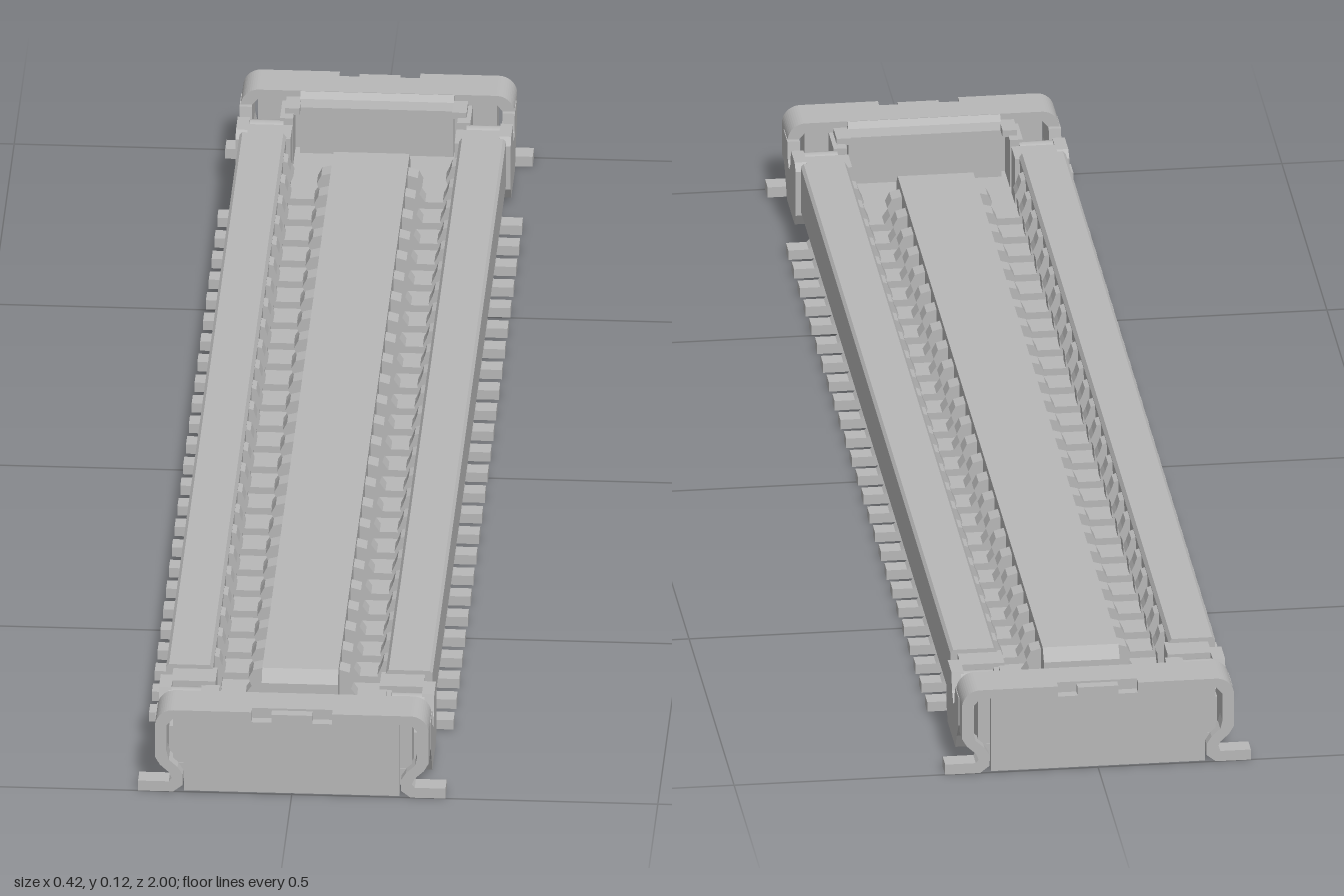
import * as THREE from 'three';

export function createModel() {
  const model = new THREE.Group();
  model.name = 'boardConnector';
  const grey = new THREE.MeshStandardMaterial({ color: 0xb8b8b8 });
  grey.name = 'light grey';

  const add = (parent, name, geo) => {
    const m = new THREE.Mesh(geo, grey);
    m.name = name;
    parent.add(m);
    return m;
  };
  const toShape = (pts) => new THREE.Shape(pts.map(([x, y]) => new THREE.Vector2(x, y)));
  // An x-y outline pushed along z from z0 to z1
  const prism = (outline, z0, z1) => {
    const shape = Array.isArray(outline) ? toShape(outline) : outline;
    const g = new THREE.ExtrudeGeometry(shape, { depth: z1 - z0, bevelEnabled: false, curveSegments: 6 });
    return g.translate(0, 0, z0);
  };
  // A z-y outline pushed along x from x0 to x1
  const sidePrism = (pts, x0, x1) =>
    prism(pts.map(([z, y]) => [-z, y]), x0, x1).rotateY(Math.PI / 2);
  const box = (x0, x1, y0, y1, z0, z1) =>
    new THREE.BoxGeometry(x1 - x0, y1 - y0, z1 - z0)
      .translate((x0 + x1) / 2, (y0 + y1) / 2, (z0 + z1) / 2);
  const flip = (pts, s) => pts.map(([x, y]) => [s * x, y]);

  // Insulating housing: floor with undercut sides, central island, long walls
  add(model, 'floor', prism([[-0.14, 0], [0.14, 0], [0.163, 0.036], [-0.163, 0.036]], -0.985, 0.985));
  add(model, 'island', sidePrism(
    [[-0.82, 0.03], [0.82, 0.03], [0.82, 0.08], [0.805, 0.096], [-0.805, 0.096], [-0.82, 0.08]], -0.052, 0.052));
  const wall = [[0.12, 0.034], [0.176, 0.034], [0.182, 0.04], [0.182, 0.106], [0.178, 0.11], [0.122, 0.11], [0.118, 0.104]];
  for (const s of [-1, 1]) add(model, 'longWall', prism(flip(wall, s), -0.83, 0.83));

  // Contacts: solder foot, bent shank, and a spring strip across the groove
  const foot = [[0.208, 0], [0.208, 0.014], [0.18, 0.014], [0.174, 0.02], [0.174, 0.036],
    [0.158, 0.036], [0.158, 0.012], [0.168, 0]];
  const spring = [[0.12, 0.034], [0.12, 0.103], [0.112, 0.1], [0.108, 0.088], [0.104, 0.08], [0.108, 0.07],
    [0.11, 0.046], [0.076, 0.046], [0.068, 0.058], [0.072, 0.07], [0.066, 0.082], [0.052, 0.086], [0.052, 0.034]];
  const count = 25, pitch = 0.0643;
  for (const s of [-1, 1]) {
    const footGeo = prism(flip(foot, s), -0.013, 0.013);
    const springGeo = prism(flip(spring, s), -0.013, 0.013);
    for (let i = 0; i < count; i++) {
      const z = (i - (count - 1) / 2) * pitch;
      add(model, 'contactFoot', footGeo).position.z = z;
      add(model, 'contactSpring', springGeo).position.z = z;
    }
  }

  // Metal end cover with the housing corners it clips on to
  const W = 0.187, H = 0.123, R = 0.025;
  const archTop = (sh) => {
    sh.lineTo(W, H - R);
    sh.absarc(W - R, H - R, R, 0, Math.PI / 2, false);
  };
  const buildEnd = () => {
    const end = new THREE.Group();
    end.name = 'endCover';

    // Bridge over the top with rounded shoulders
    const arch = new THREE.Shape();
    arch.moveTo(W, 0.06);
    archTop(arch);
    arch.absarc(-W + R, H - R, R, Math.PI / 2, Math.PI, false);
    arch.lineTo(-W, 0.06);
    arch.lineTo(-0.171, 0.06);
    arch.lineTo(-0.171, 0.1);
    arch.lineTo(-0.163, 0.109);
    arch.lineTo(0.163, 0.109);
    arch.lineTo(0.171, 0.1);
    arch.lineTo(0.171, 0.06);
    add(end, 'coverBridge', prism(arch, 0.937, 0.986));

    // Front plate with two notches in its top edge
    const front = new THREE.Shape();
    front.moveTo(0.147, 0.002);
    front.lineTo(0.147, 0.11);
    front.lineTo(0.162, 0.11);
    front.lineTo(0.171, 0.1);
    front.lineTo(0.171, 0.06);
    front.lineTo(W, 0.06);
    archTop(front);
    for (const [x, y] of [[0.055, H], [0.055, 0.108], [0.028, 0.108], [0.028, 0.12],
      [-0.028, 0.12], [-0.028, 0.108], [-0.055, 0.108], [-0.055, H]]) front.lineTo(x, y);
    front.absarc(-W + R, H - R, R, Math.PI / 2, Math.PI, false);
    for (const [x, y] of [[-W, 0.06], [-0.171, 0.06], [-0.171, 0.1], [-0.162, 0.11],
      [-0.147, 0.11], [-0.147, 0.002]]) front.lineTo(x, y);
    add(end, 'frontPlate', prism(front, 0.986, 1));

    // Inner flap curving down to the floor, and the housing end behind the plate
    add(end, 'innerFlap', sidePrism(
      [[0.922, 0.034], [0.922, 0.105], [0.926, 0.116], [0.938, H], [0.945, H], [0.945, 0.034]], -0.105, 0.105));
    add(end, 'housingEnd', box(-0.163, 0.163, 0.03, 0.109, 0.94, 0.984));

    for (const s of [-1, 1]) {
      const side = (x0, x1) => (s > 0 ? [x0, x1] : [-x1, -x0]);
      // Bent leg ending in a solder foot
      add(end, 'coverLeg', prism(flip([[W, 0.062], [W, 0.052], [0.18, 0.04], [0.168, 0.029], [0.164, 0.02],
        [0.168, 0.015], [0.21, 0.015], [0.21, 0], [0.162, 0], [0.149, 0.01], [0.149, 0.026],
        [0.156, 0.037], [0.168, 0.048], [0.171, 0.06]], s), 0.972, 1));
      // Side arm with a hooked cut-out
      add(end, 'sideArm', sidePrism([[0.972, 0.1], [0.972, 0.06], [0.95, 0.035], [0.935, 0.012], [0.85, 0.012],
        [0.838, 0.03], [0.838, 0.095], [0.85, 0.104], [0.89, 0.104], [0.898, 0.08], [0.912, 0.066],
        [0.926, 0.075], [0.93, 0.1]], ...side(0.171, 0.188)));
      // Stepped housing corner
      add(end, 'cornerBlock', box(...side(0.112, 0.172), 0.03, 0.104, 0.825, 0.868));
      add(end, 'cornerStep', box(...side(0.128, 0.172), 0.012, 0.07, 0.865, 0.94));
      add(end, 'cornerPost', box(...side(0.112, 0.13), 0.03, 0.106, 0.885, 0.94));
      // Rolled latch between arm and corner
      const roll = new THREE.CylinderGeometry(0.014, 0.014, 0.05, 12).rotateZ(Math.PI / 2);
      add(end, 'latchRoll', roll.translate(s * 0.15, 0.088, 0.885));
      add(end, 'latchTab', box(...side(0.104, 0.124), 0.104, 0.114, 0.9, 0.94));
    }
    return end;
  };
  const frontEnd = buildEnd();
  const backEnd = buildEnd();
  backEnd.rotation.y = Math.PI;
  model.add(frontEnd, backEnd);
  return model;
}
